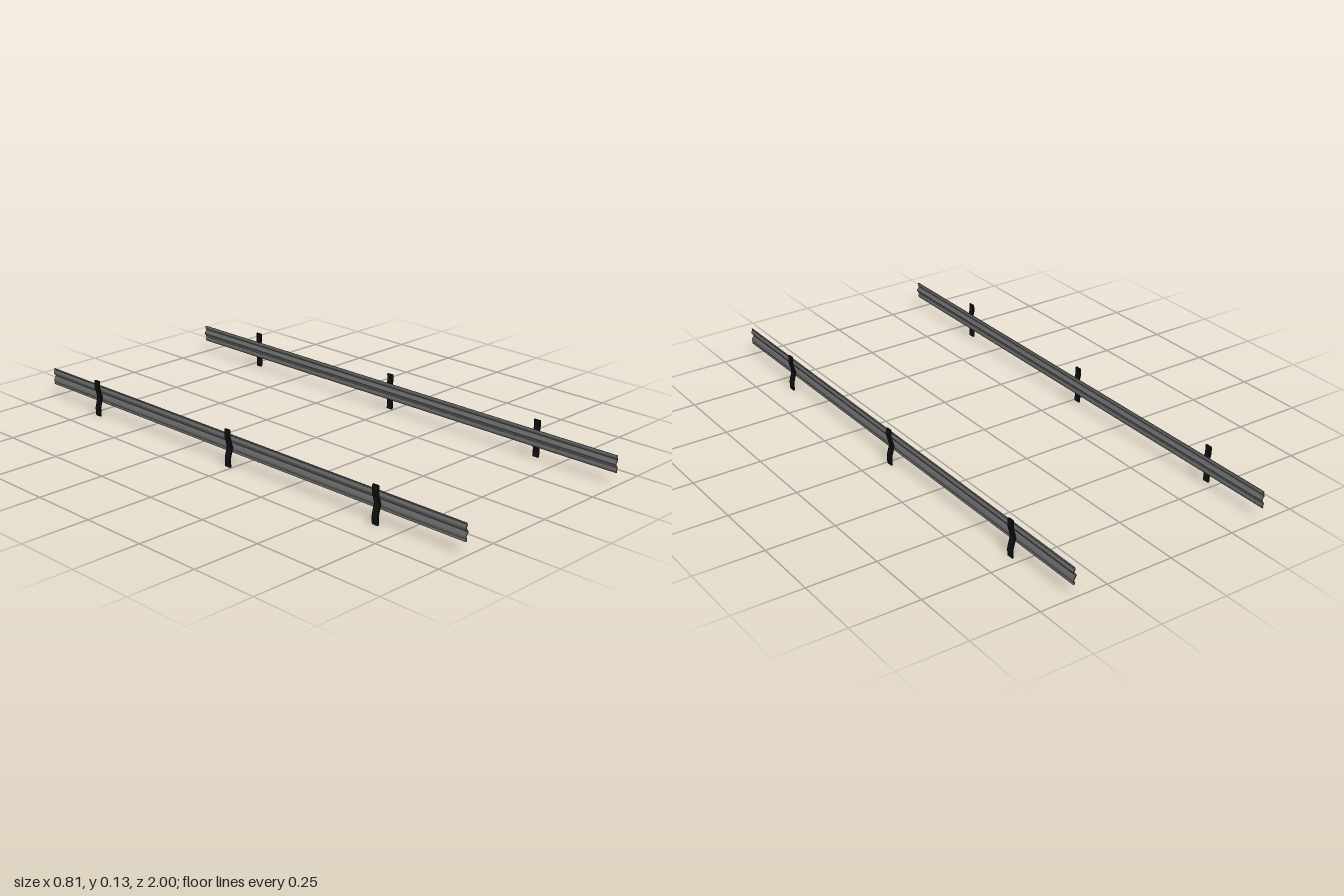
import * as THREE from 'three';

// Cross-section strip of constant thickness along a centre line, extruded along z
function strip(points, side, thickness, z0, z1, samples) {
  const curve = new THREE.CatmullRomCurve3(
    points.map(([x, y]) => new THREE.Vector3(x * side, y, 0)), false, 'centripetal');
  const inner = [], outer = [];
  for (let i = 0; i <= samples; i++) {
    const p = curve.getPoint(i / samples);
    const t = curve.getTangent(i / samples);
    const nx = -t.y * thickness / 2, ny = t.x * thickness / 2;
    inner.push(new THREE.Vector2(p.x + nx, p.y + ny));
    outer.push(new THREE.Vector2(p.x - nx, p.y - ny));
  }
  const shape = new THREE.Shape([...inner, ...outer.reverse()]);
  const geometry = new THREE.ExtrudeGeometry(shape, { depth: z1 - z0, bevelEnabled: false });
  return geometry.translate(0, 0, z0);
}

export function createModel() {
  const model = new THREE.Group();
  model.name = 'guardrails';
  const railMaterial = new THREE.MeshStandardMaterial({ color: 0x666666 });
  const postMaterial = new THREE.MeshStandardMaterial({ color: 0x111111 });

  // Wavy rail profile, with its crest toward the road
  const railProfile = [
    [0.377, 0.107], [0.375, 0.1], [0.379, 0.092], [0.375, 0.084],
    [0.37, 0.077], [0.375, 0.069], [0.379, 0.061], [0.376, 0.053], [0.378, 0.046],
  ];
  // Post bowed inward behind the rail
  const postProfile = [
    [0.399, 0.134], [0.4, 0.108], [0.395, 0.088], [0.391, 0.07],
    [0.395, 0.05], [0.4, 0.03], [0.399, 0],
  ];

  for (const [side, label] of [[1, 'left'], [-1, 'right']]) {
    const barrier = new THREE.Group();
    barrier.name = label + 'Barrier';

    const rail = new THREE.Mesh(strip(railProfile, side, 0.004, -1, 1, 24), railMaterial);
    rail.name = label + 'Rail';
    barrier.add(rail);

    for (const z of [0.656, -0.016, -0.712]) {
      const post = new THREE.Mesh(
        strip(postProfile, side, 0.0065, z - 0.012, z + 0.012, 24), postMaterial);
      post.name = label + 'Post';
      barrier.add(post);
    }
    model.add(barrier);
  }
  return model;
}
